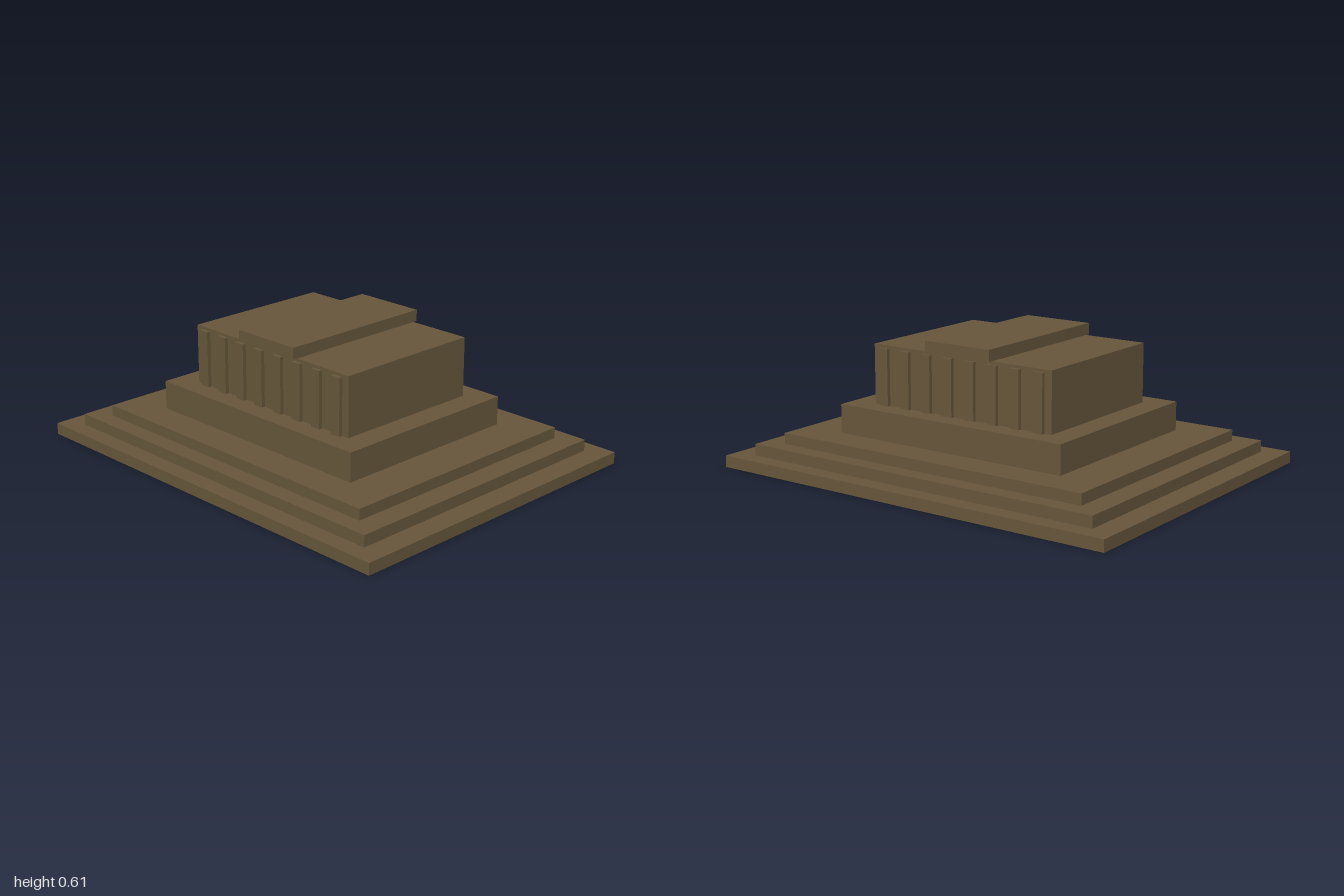
import * as THREE from 'three';

export function createModel() {
  const model = new THREE.Group();
  const stone = new THREE.MeshStandardMaterial({ color: 0x65553a });
  stone.name = 'brownStone';

  // Box spanning y0..y1, centred on x and z
  function block(name, width, depth, y0, y1, x = 0, z = 0) {
    const mesh = new THREE.Mesh(new THREE.BoxGeometry(width, y1 - y0, depth), stone);
    mesh.name = name;
    mesh.position.set(x, (y0 + y1) / 2, z);
    model.add(mesh);
  }

  // Stepped base and podium
  block('bottomStep', 2, 1.544, 0, 0.053);
  block('middleStep', 1.79, 1.382, 0.053, 0.105);
  block('topStep', 1.58, 1.222, 0.105, 0.155);
  block('podium', 1.174, 0.916, 0.155, 0.286);

  // Main hall and raised roof slab
  block('hall', 0.946, 0.712, 0.286, 0.556);
  block('roofSlab', 0.34, 0.756, 0.556, 0.608);

  // Eight pilasters along the front and the back
  for (const side of [1, -1]) {
    for (let i = 0; i < 8; i++) {
      const x = (i - 3.5) * 0.118;
      block(side > 0 ? 'frontPilaster' : 'backPilaster', 0.049, 0.026, 0.286, 0.543, x, side * 0.36);
    }
  }
  return model;
}
